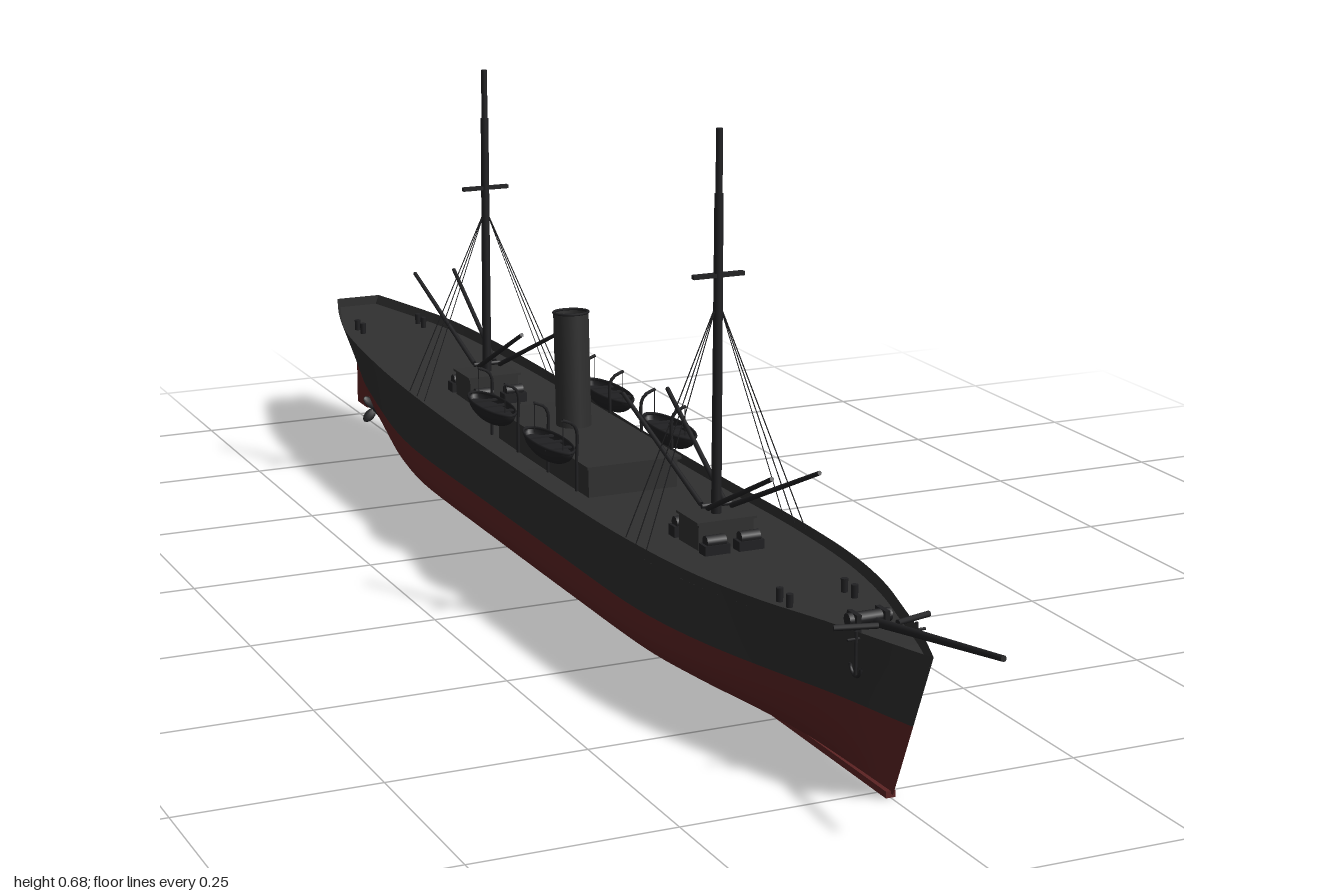
import * as THREE from 'three';

const material = (name, color, side = THREE.FrontSide) => {
  const m = new THREE.MeshStandardMaterial({ color, side });
  m.name = name;
  return m;
};

export function createModel() {
  const ship = new THREE.Group();
  ship.name = 'steamship';
  const black = material('hull black', 0x2e2e2e, THREE.DoubleSide);
  const red = material('bottom red', 0x5c2323, THREE.DoubleSide);
  const grey = material('deck grey', 0x303030, THREE.DoubleSide);
  const dark = material('fitting black', 0x202022, THREE.DoubleSide);
  const V = (x, y, z) => new THREE.Vector3(x, y, z);

  const add = (name, geo, mat, x = 0, y = 0, z = 0, parent = ship) => {
    const mesh = new THREE.Mesh(geo, mat);
    mesh.name = name;
    mesh.position.set(x, y, z);
    parent.add(mesh);
    return mesh;
  };
  const box = (name, w, h, d, mat, x, y, z, parent) =>
    add(name, new THREE.BoxGeometry(w, h, d), mat, x, y, z, parent);
  // Tapered round bar between two points
  const bar = (name, a, b, r0, r1 = r0, sides = 8, parent = ship) => {
    const geo = new THREE.CylinderGeometry(r1, r0, a.distanceTo(b), sides);
    const mesh = add(name, geo, dark, 0, 0, 0, parent);
    mesh.position.copy(a).lerp(b, 0.5);
    mesh.quaternion.setFromUnitVectors(V(0, 1, 0), b.clone().sub(a).normalize());
    return mesh;
  };
  // Surface through rows of points
  const loft = (name, rows, mat, flip = false) => {
    const n = rows[0].length, index = [];
    for (let i = 0; i < rows.length - 1; i++) for (let j = 0; j < n - 1; j++) {
      const a = i * n + j, b = a + 1, c = a + n, d = c + 1;
      if (flip) index.push(a, c, b, b, c, d);
      else index.push(a, b, c, b, d, c);
    }
    const geo = new THREE.BufferGeometry().setFromPoints(rows.flat());
    geo.setIndex(index);
    geo.computeVertexNormals();
    return add(name, geo, mat);
  };

  // Hull: half breadth, sheer height and z, stern to bow
  const outline = new THREE.CatmullRomCurve3([
    [0.035, 0.194, -1], [0.066, 0.191, -0.9], [0.089, 0.189, -0.8], [0.108, 0.184, -0.6],
    [0.115, 0.18, -0.4], [0.115, 0.176, -0.15], [0.115, 0.177, 0.1], [0.114, 0.181, 0.3],
    [0.102, 0.186, 0.48], [0.08, 0.19, 0.6], [0.051, 0.193, 0.7], [0.024, 0.194, 0.79],
    [0.0008, 0.193, 0.855]].map(p => V(...p)));
  const stations = outline.getPoints(72);
  const smooth = THREE.MathUtils.smoothstep;
  const WATER = 0.1;
  const keelY = z => 0.005 + 0.095 * Math.max(0, (-0.8 - z) / 0.2) ** 2;
  const hullPoint = (s, y, side) => {
    const k = keelY(s.z);
    const u = THREE.MathUtils.clamp((y - k) / (s.y - k), 0, 1);
    const full = 1 - Math.max(0, 1 - u / 0.5) ** 3.3;
    const fine = 0.85 * Math.max(smooth(-s.z, 0.4, 1), smooth(s.z, 0.3, 0.855));
    const f = full * (1 - fine) + u ** 1.2 * fine;
    const rake = Math.max(0, (s.z - 0.5) / 0.355) ** 2 * 0.08 * (1 - u);
    return V(side * s.x * f, y, s.z - rake);
  };
  const strip = (s, side, y0, y1, n) => Array.from({ length: n + 1 }, (_, j) =>
    hullPoint(s, y0 + (y1 - y0) * (j / n) ** 1.5, side));
  for (const side of [1, -1]) {
    loft('lowerHull', stations.map(s => strip(s, side, keelY(s.z), WATER, 12)), red, side < 0);
    loft('upperHull', stations.map(s => strip(s, side, WATER, s.y, 5)), black, side < 0);
  }
  const stern = stations[0];
  const left = strip(stern, 1, WATER, stern.y, 6), right = strip(stern, -1, WATER, stern.y, 6);
  loft('transom', left.map((p, i) => [p, right[i]]), black, true);
  // Deck lies below the bulwark rail
  const deckY = s => s.y - 0.014;
  loft('deck', stations.map(s => [hullPoint(s, deckY(s), -1), hullPoint(s, deckY(s), 1)]), grey, true);
  box('keel', 0.012, 0.008, 1.6, red, 0, 0.004, -0.03);

  // Rudder, stern post and propeller
  box('rudder', 0.008, 0.09, 0.045, red, 0, 0.067, -0.977);
  box('sternPost', 0.01, 0.07, 0.012, red, 0, 0.07, -0.947);
  bar('propellerShaft', V(0, 0.028, -0.86), V(0, 0.028, -0.935), 0.006);
  for (let i = 0; i < 4; i++) {
    const blade = add('propellerBlade', new THREE.SphereGeometry(1, 10, 6), dark);
    const a = i * Math.PI / 2 + Math.PI / 4;
    blade.scale.set(0.008, 0.013, 0.003);
    blade.position.set(Math.sin(a) * 0.015, 0.028 + Math.cos(a) * 0.015, -0.925);
    blade.rotation.set(0, 0.5, -a, 'ZYX');
  }

  // Deckhouse and raked funnel
  box('deckhouse', 0.126, 0.042, 0.31, grey, 0, 0.181, -0.082);
  box('deckhouseRoof', 0.134, 0.004, 0.32, grey, 0, 0.203, -0.082);
  const funnel = new THREE.Group();
  funnel.name = 'funnel';
  funnel.position.set(0, 0.2, -0.122);
  funnel.rotation.x = -0.06;
  ship.add(funnel);
  add('funnelTube', new THREE.CylinderGeometry(0.024, 0.024, 0.16, 24, 1, true), black, 0, 0.08, 0, funnel);
  const top = add('funnelMouth', new THREE.CircleGeometry(0.023, 24), dark, 0, 0.153, 0, funnel);
  top.rotation.x = -Math.PI / 2;
  const rim = add('funnelRim', new THREE.TorusGeometry(0.0235, 0.0018, 6, 24), dark, 0, 0.159, 0, funnel);
  rim.rotation.x = Math.PI / 2;

  // Lifeboats hung from curved davits
  for (const side of [1, -1]) for (const z of [-0.003, -0.203]) {
    const boat = new THREE.Group();
    boat.name = 'lifeboat';
    boat.position.set(side * 0.087, 0.223, z);
    ship.add(boat);
    const shell = add('boatHull', new THREE.SphereGeometry(1, 20, 8, 0, Math.PI * 2, Math.PI / 2, Math.PI / 2), dark, 0, 0, 0, boat);
    shell.scale.set(0.022, 0.026, 0.07);
    const rail = add('boatGunwale', new THREE.TorusGeometry(1, 0.04, 6, 28), dark, 0, 0, 0, boat);
    rail.rotation.x = Math.PI / 2;
    rail.scale.set(0.022, 0.069, 0.05);
    const floor = add('boatFloor', new THREE.CircleGeometry(1, 24), dark, 0, -0.008, 0, boat);
    floor.rotation.x = -Math.PI / 2;
    floor.scale.set(0.02, 0.064, 1);
    for (const t of [-0.03, 0, 0.03]) box('boatThwart', 0.038, 0.002, 0.007, dark, 0, -0.003, t, boat);
    for (const dz of [-0.048, 0.048]) {
      const path = new THREE.CatmullRomCurve3([V(0.068, 0.165, z + dz), V(0.068, 0.21, z + dz),
        V(0.068, 0.247, z + dz), V(0.074, 0.256, z + dz), V(0.088, 0.262, z + dz)]
        .map(p => p.setX(p.x * side)));
      add('davit', new THREE.TubeGeometry(path, 16, 0.0022, 6), dark);
      bar('boatFall', V(side * 0.087, 0.262, z + dz), V(side * 0.087, 0.222, z + dz), 0.0006, 0.0006, 4);
    }
  }

  // Masts with houses, winches, cargo booms and shrouds
  for (const [z, height, cross] of [[0.32, 0.682, 0.503], [-0.44, 0.642, 0.473]]) {
    box('mastHouse', 0.074, 0.04, 0.056, grey, 0, 0.182, z);
    box('mastHouseRoof', 0.08, 0.003, 0.062, grey, 0, 0.203, z);
    bar('lowerMast', V(0, 0.17, z), V(0, cross + 0.1, z), 0.0065, 0.0055, 12);
    bar('topMast', V(0, cross + 0.09, z), V(0, height, z), 0.0045, 0.004, 10);
    box('crosstree', 0.068, 0.005, 0.008, dark, 0, cross, z);
    bar('boomYoke', V(-0.02, 0.215, z), V(0.02, 0.215, z), 0.003);
    for (const side of [1, -1]) {
      for (const end of [1, -1]) {
        bar('cargoBoom', V(side * 0.016, 0.215, z + end * 0.01),
          V(side * 0.031, 0.308, z + end * 0.21), 0.0035, 0.0028);
        bar('winchDrum', V(side * 0.01, 0.184, z + end * 0.044), V(side * 0.036, 0.184, z + end * 0.044), 0.008, 0.008, 12);
        box('winchBed', 0.034, 0.014, 0.018, dark, side * 0.023, 0.174, z + end * 0.044);
      }
      for (const dz of [-0.03, 0, 0.03])
        bar('shroud', V(0, cross - 0.03, z), V(side * 0.108, 0.178, z + dz), 0.0007, 0.0007, 4);
    }
  }

  // Bowsprit, windlass, catheads, anchors and bollards
  bar('bowsprit', V(0, 0.193, 0.73), V(0, 0.239, 0.999), 0.0055, 0.0035, 10);
  bar('windlass', V(-0.027, 0.193, 0.71), V(0.027, 0.193, 0.71), 0.008, 0.008, 12);
  for (const side of [1, -1]) {
    box('windlassStand', 0.006, 0.026, 0.024, dark, side * 0.018, 0.188, 0.71);
    bar('cathead', V(side * 0.012, 0.199, 0.755), V(side * 0.06, 0.198, 0.74), 0.0035);
    const anchor = new THREE.Group();
    anchor.name = 'anchor';
    anchor.position.set(side * 0.038, 0.143, 0.752);
    ship.add(anchor);
    bar('anchorShank', V(0, 0, 0), V(0, 0.052, 0), 0.002, 0.002, 8, anchor);
    bar('anchorStock', V(-0.011, 0.043, 0), V(0.011, 0.043, 0), 0.0017, 0.0017, 6, anchor);
    const arms = add('anchorArms', new THREE.TorusGeometry(0.012, 0.002, 6, 12, Math.PI), dark, 0, 0.012, 0, anchor);
    arms.rotation.set(0, Math.PI / 2, Math.PI, 'YXZ');
    for (const [x, z] of [[0.042, 0.6], [0.042, 0.575], [0.05, -0.86], [0.05, -0.835]])
      add('bollard', new THREE.CylinderGeometry(0.0045, 0.004, 0.018, 10), dark, side * x, 0.183, z);
  }
  return ship;
}
